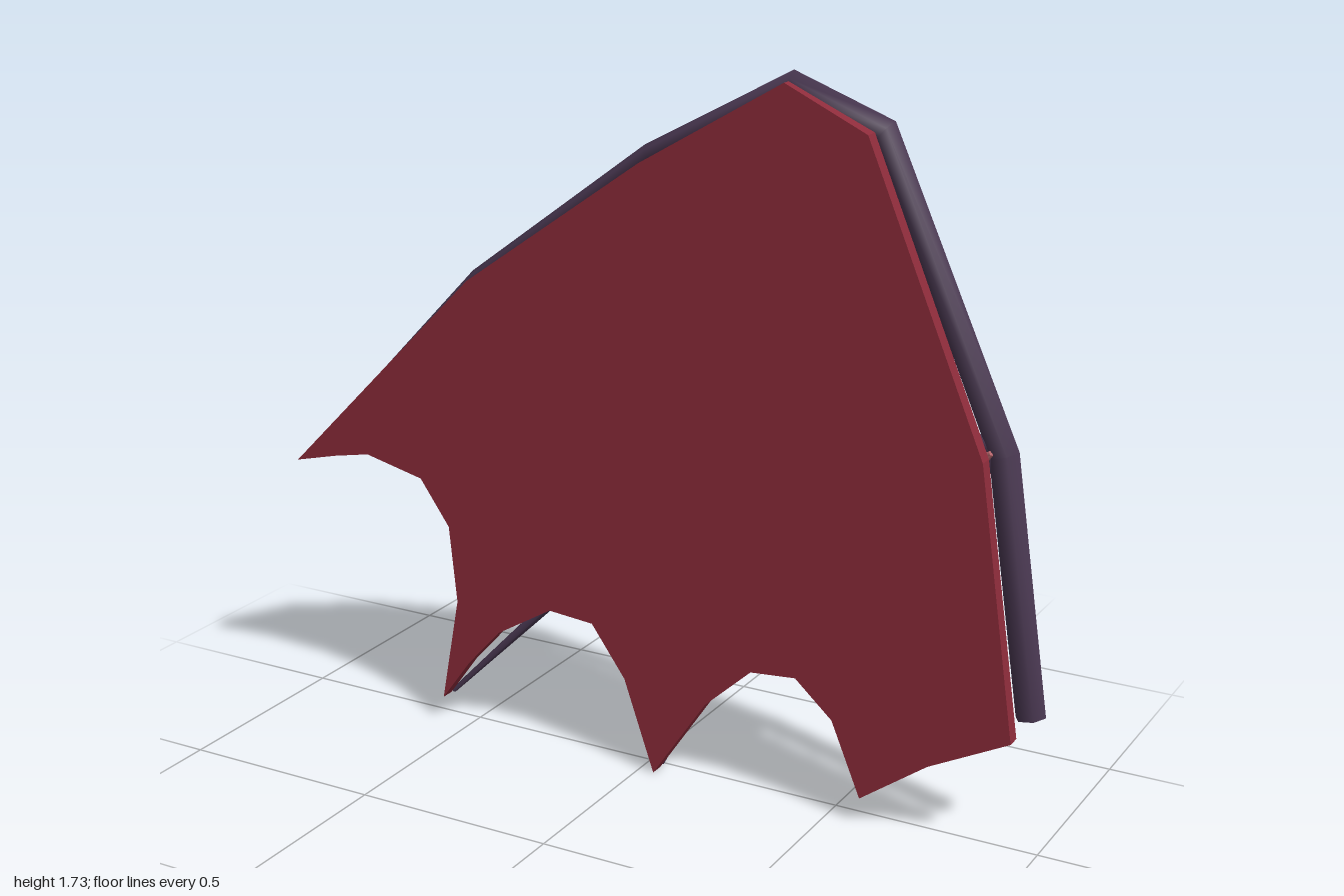
import * as THREE from 'three';
import { mergeGeometries } from 'three/addons/utils/BufferGeometryUtils.js';

const mat = (name, color) => {
  const m = new THREE.MeshStandardMaterial({ color });
  m.name = name;
  return m;
};

// Tapered rod through points [x, y, z, radius], mitred at its joints, with flat end caps
function rod(points, sides = 6) {
  const p = points.map(([x, y, z]) => new THREE.Vector3(x, y, z));
  const back = new THREE.Vector3(0, 0, 1);
  const position = [], index = [], caps = [];
  p.forEach((c, i) => {
    const a = p[Math.max(i - 1, 0)], b = p[Math.min(i + 1, p.length - 1)];
    const inDir = c.clone().sub(a).normalize(), outDir = b.clone().sub(c).normalize();
    const dir = inDir.clone().add(outDir).normalize();
    const u = new THREE.Vector3().crossVectors(back, dir).normalize();
    const v = new THREE.Vector3().crossVectors(dir, u);
    const r = points[i][3];
    const miter = i > 0 && i < p.length - 1 ? 1 / dir.dot(inDir) : 1;
    const ring = [];
    for (let k = 0; k < sides; k++) {
      const t = (k / sides) * Math.PI * 2;
      const q = c.clone().addScaledVector(u, Math.cos(t) * r * miter).addScaledVector(v, Math.sin(t) * r);
      position.push(q.x, q.y, q.z);
      ring.push(q);
      if (i > 0) {
        const n = (k + 1) % sides, s = (i - 1) * sides, e = i * sides;
        index.push(s + k, s + n, e + k, s + n, e + n, e + k);
      }
    }
    if (i === 0 || i === p.length - 1) {
      for (let k = 0; k < sides; k++) {
        const pair = [ring[k], ring[(k + 1) % sides]];
        if (i === 0) pair.reverse();
        caps.push(c, ...pair);
      }
    }
  });
  const wall = new THREE.BufferGeometry();
  wall.setAttribute('position', new THREE.Float32BufferAttribute(position, 3));
  wall.setIndex(index);
  wall.computeVertexNormals();
  const ends = new THREE.BufferGeometry().setFromPoints(caps);
  ends.computeVertexNormals();
  return mergeGeometries([wall.toNonIndexed(), ends]);
}

export function createModel() {
  const group = new THREE.Group();
  group.name = 'wing';
  const bone = mat('dark purple bone', 0x4a3852);
  const skin = mat('crimson skin', 0x8e2c3b);
  const veinMat = mat('pale vein', 0xb8666c);
  const add = (name, geometry, material) => {
    const m = new THREE.Mesh(geometry, material);
    m.name = name;
    group.add(m);
  };

  // Scalloped membrane
  const outline = [
    [-1, 0.635], [-0.88, 0.665], [-0.78, 0.685], [-0.62, 0.648], [-0.54, 0.535], [-0.52, 0.34],
    [-0.57, 0.07], [-0.49, 0.18], [-0.4, 0.28], [-0.25, 0.37], [-0.13, 0.36], [-0.04, 0.235],
    [0.04, 0.005], [0.18, 0.215], [0.3, 0.325], [0.415, 0.335], [0.51, 0.25],
    [0.585, 0.07], [0.75, 0.19], [0.945, 0.29],
    [0.85, 0.93], [0.56, 1.615], [0.36, 1.71], [0, 1.5], [-0.47, 1.17],
  ];
  const shape = new THREE.Shape(outline.map(([x, y]) => new THREE.Vector2(x, y)));
  const membrane = new THREE.ExtrudeGeometry(shape, { depth: 0.035, bevelEnabled: false });
  membrane.translate(0, 0, 0.025);
  add('membrane', membrane, skin);

  // Arm and leading edge
  add('armBone', rod([
    [0.96, 0.328, -0.02, 0.036], [0.867, 0.93, -0.022, 0.036], [0.573, 1.615, -0.002, 0.03],
    [0.362, 1.7, 0.012, 0.029], [0, 1.515, 0.01, 0.021], [-0.47, 1.172, 0.014, 0.017],
    [-0.995, 0.638, 0.02, 0.006],
  ]), bone);

  // Finger bones: middle joint and tip of each
  const fingers = [
    [-0.19, 0.86, -0.99, 0.64],
    [0.013, 0.665, -0.567, 0.073],
    [0.35, 0.655, 0.04, 0.013],
    [0.65, 0.66, 0.584, 0.074],
  ];
  fingers.forEach(([mx, my, tx, ty], i) => add('finger' + (i + 1), rod([
    [0.85, 0.945, -0.02, 0.027], [mx, my, -0.021, 0.022], [tx, ty, 0.017, 0.006],
  ]), bone));

  // Thin veins between the fingers
  [[-0.2, 0.38], [0.15, 0.44], [0.55, 0.5]].forEach(([x, y], i) => add('vein' + (i + 1), rod([
    [0.85, 0.94, 0.016, 0.007], [x, y, 0.022, 0.003],
  ], 5), veinMat));

  return group;
}
